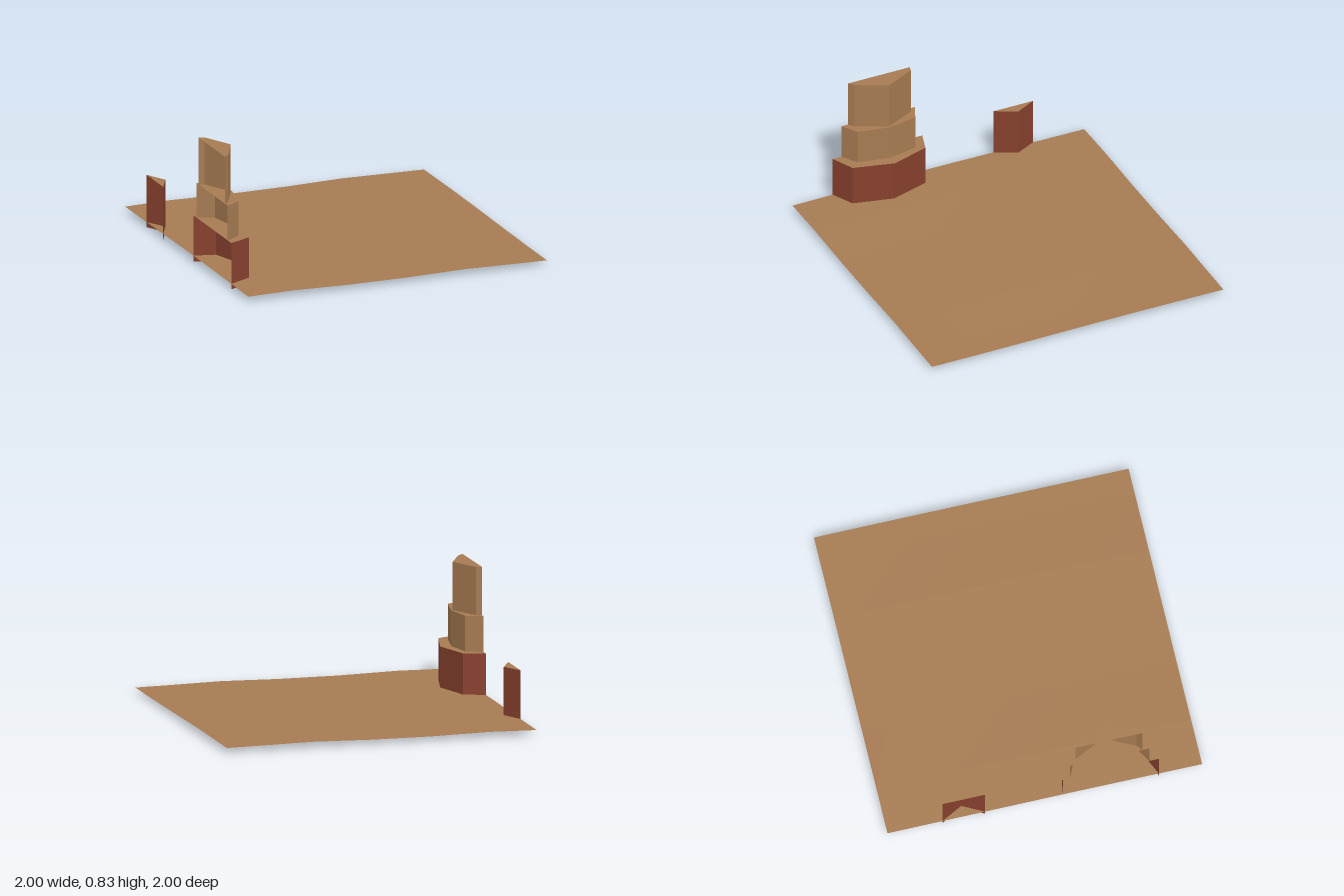
import * as THREE from 'three';

const set = (name, color) => new THREE.MeshStandardMaterial({ name, color, side: THREE.DoubleSide, flatShading: true });

function meshFrom(points, material, name) {
  const g = new THREE.BufferGeometry();
  g.setAttribute('position', new THREE.Float32BufferAttribute(points.flat(), 3));
  g.computeVertexNormals();
  const mesh = new THREE.Mesh(g, material);
  mesh.name = name;
  return mesh;
}

// One rock layer cut open at the tile edge: a strip of walls and a flat top.
// The outline runs as [x, z] from back to front.
function rockLayer(name, outline, y0, y1, wallMaterial, topMaterial) {
  const group = new THREE.Group();
  group.name = name;
  const walls = [], top = [];
  const at = ([x, z], y) => [x, y, z];
  for (let i = 0; i < outline.length - 1; i++) {
    const a = outline[i], b = outline[i + 1];
    walls.push(at(b, y0), at(a, y0), at(a, y1), at(b, y0), at(a, y1), at(b, y1));
    if (i > 0) top.push(at(outline[0], y1), at(b, y1), at(a, y1));
  }
  group.add(meshFrom(walls, wallMaterial, name + 'Walls'), meshFrom(top, topMaterial, name + 'Top'));
  return group;
}

// Gently rolling, faceted ground
function ground(material) {
  const xs = [-1, -0.7, -0.31, 0.07, 0.45, 0.83, 1];
  const zs = [-1, -0.84, -0.45, -0.07, 0.31, 0.69, 1];
  const p = (i, j) => {
    const x = xs[i], z = zs[j];
    const y = 0.035 + 0.005 * Math.cos(5.46 * (x + 0.7)) + 0.004 * Math.cos(2.6 * (z + 0.15) + 0.8 * x);
    return [x, y, z];
  };
  const tris = [];
  for (let i = 0; i < xs.length - 1; i++) {
    for (let j = 0; j < zs.length - 1; j++) {
      const a = p(i, j), b = p(i + 1, j), c = p(i + 1, j + 1), d = p(i, j + 1);
      tris.push(a, d, c, a, c, b);
    }
  }
  return meshFrom(tris, material, 'ground');
}

export function createModel() {
  const sand = set('sand', 0xa67b52);
  const redRock = set('redRock', 0x87402e);
  const model = new THREE.Group();
  model.name = 'desertTile';
  model.add(ground(sand));

  // Stepped rock tower
  const tower = new THREE.Group();
  tower.name = 'rockTower';
  tower.add(
    rockLayer('lowerLayer', [[-1, 0.11], [-0.865, 0.153], [-0.79, 0.4], [-0.855, 0.657], [-1, 0.725]], 0, 0.3, redRock, sand),
    rockLayer('middleLayer', [[-1, 0.16], [-0.895, 0.208], [-0.86, 0.397], [-0.9, 0.602], [-1, 0.665]], 0.3, 0.525, sand, sand),
    rockLayer('upperLayer', [[-1, 0.195], [-0.965, 0.205], [-0.87, 0.4], [-0.965, 0.592], [-1, 0.62]], 0.525, 0.83, sand, sand)
  );
  model.add(tower);

  // Small rock further back
  model.add(rockLayer('smallRock', [[-1, -0.65], [-0.93, -0.515], [-1, -0.38]], 0, 0.34, redRock, sand));
  return model;
}
